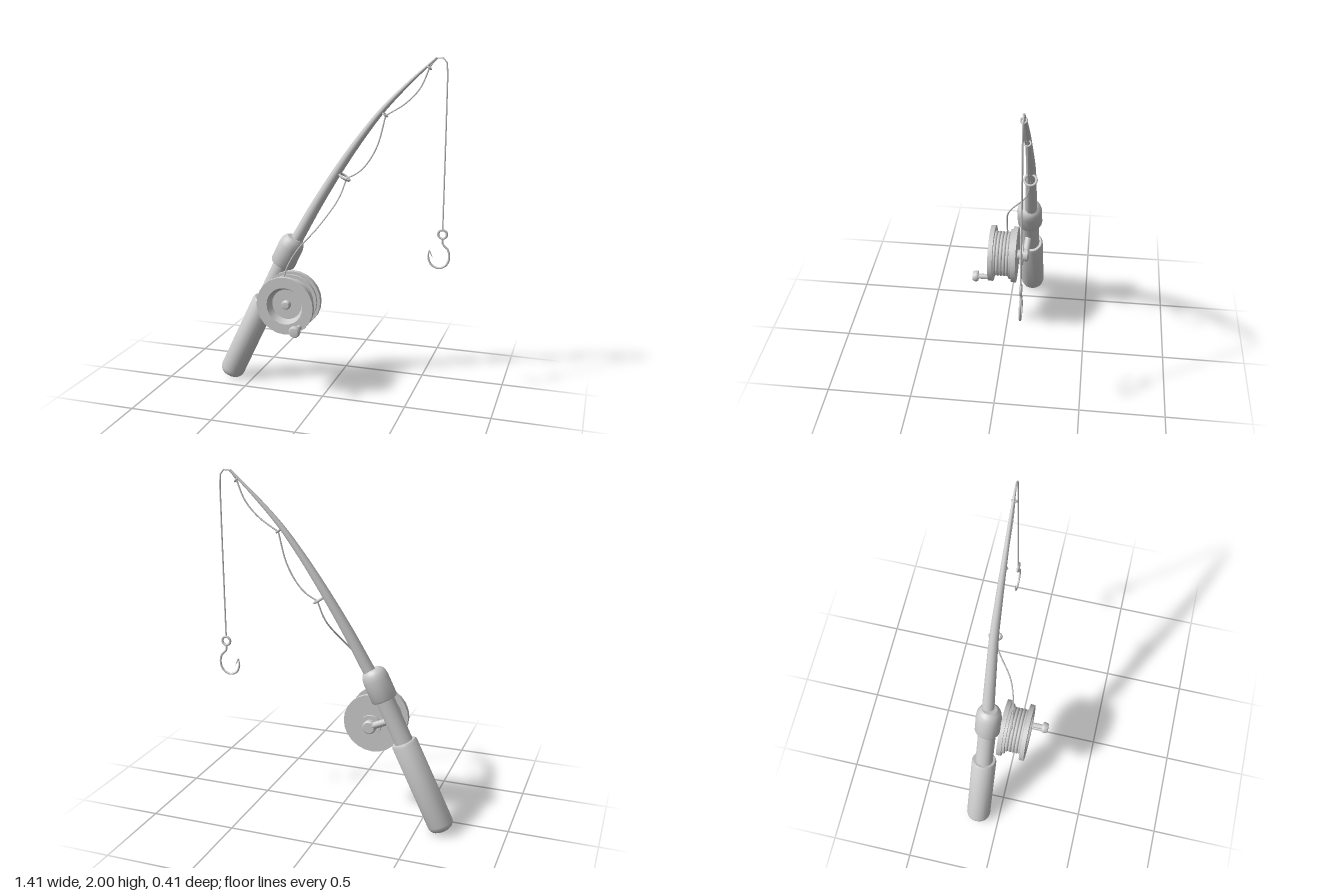
import * as THREE from 'three';
import { toCreasedNormals } from 'three/addons/utils/BufferGeometryUtils.js';

const V = (x, y, z) => new THREE.Vector3(x, y, z);
const UP = V(0, 1, 0);
const ROD_Z = -0.158;

export function createModel() {
  const root = new THREE.Group();
  const mat = new THREE.MeshStandardMaterial({ color: 0xcccccc });

  const add = (name, geo, parent = root) => {
    const mesh = new THREE.Mesh(geo, mat);
    mesh.name = name;
    parent.add(mesh);
    return mesh;
  };

  // Turned part: profile of [radius, height] pairs, listed from bottom to top
  const lathe = (profile, sides = 24) => toCreasedNormals(
    new THREE.LatheGeometry(profile.map(([r, y]) => new THREE.Vector2(r, y)), sides), 0.6);

  // Tube along points; taper(u) scales the radius along the length
  const tube = (points, radius, segments, sides, taper) => {
    const curve = new THREE.CatmullRomCurve3(points, false, 'centripetal');
    const geo = new THREE.TubeGeometry(curve, segments, radius, sides);
    if (taper) {
      const pos = geo.attributes.position;
      const p = V(0, 0, 0);
      for (let i = 0; i < pos.count; i++) {
        const u = Math.floor(i / (sides + 1)) / segments;
        const c = curve.getPointAt(u);
        p.fromBufferAttribute(pos, i).sub(c).multiplyScalar(taper(u)).add(c);
        pos.setXYZ(i, p.x, p.y, p.z);
      }
    }
    return geo;
  };

  // Handle: grip, reel seat and ferrule along one leaning axis
  const handle = new THREE.Group();
  handle.name = 'handle';
  handle.position.set(-0.65, 0.02, -0.132);
  handle.quaternion.setFromUnitVectors(UP, V(0.43, 0.9, 0).normalize());
  root.add(handle);
  add('grip', lathe([[0, 0], [0.045, 0], [0.06, 0.008], [0.071, 0.022], [0.075, 0.04],
    [0.075, 0.545], [0.068, 0.56], [0, 0.56]]), handle);
  add('reelSeat', lathe([[0.053, 0.54], [0.053, 0.86]]), handle);
  add('ferrule', lathe([[0, 0.825], [0.07, 0.825], [0.075, 0.835], [0.075, 0.95],
    [0.071, 0.978], [0.061, 0.998], [0.045, 1.01], [0, 1.01]]), handle);

  // Tapered, bending rod
  add('rod', tube([V(-0.235, 0.87, -0.14), V(-0.2, 0.93, -0.143), V(-0.085, 1.135, -0.15),
    V(0.06, 1.37, ROD_Z), V(0.185, 1.55, ROD_Z), V(0.307, 1.706, ROD_Z),
    V(0.46, 1.865, -0.16), V(0.595, 1.99, -0.162)],
  0.037, 40, 14, (u) => 1 - 0.84 * Math.pow(u, 1.2)));
  add('rodTip', new THREE.SphereGeometry(0.007, 10, 8)).position.set(0.595, 1.99, -0.162);

  // Line guides: rings square to the rod
  [[0.082, 1.307, 0.033, 0.007, 0.54, 0.84], [0.317, 1.675, 0.016, 0.005, 0.6, 0.8],
    [0.56, 1.94, 0.014, 0.005, 0.68, 0.73]].forEach(([x, y, r, t, dx, dy]) => {
    const ring = add('lineGuide', new THREE.TorusGeometry(r, t, 8, 20));
    ring.position.set(x, y, ROD_Z);
    ring.quaternion.setFromUnitVectors(V(0, 0, 1), V(dx, dy, 0).normalize());
  });

  // Fishing line: reel to guides, sagging between them, then hanging from the tip
  const Z = ROD_Z;
  [
    [V(-0.245, 0.7, 0), V(-0.215, 0.79, 0), V(-0.15, 0.9, -0.008), V(-0.048, 1.02, -0.045),
      V(0.053, 1.183, -0.138), V(0.095, 1.3, Z)],
    [V(0.095, 1.3, Z), V(0.165, 1.34, Z), V(0.217, 1.395, Z), V(0.275, 1.5, Z), V(0.32, 1.67, Z)],
    [V(0.32, 1.67, Z), V(0.434, 1.743, Z), V(0.513, 1.828, Z), V(0.562, 1.94, Z)],
    [V(0.562, 1.94, Z), V(0.594, 1.985, -0.162), V(0.624, 1.996, -0.163), V(0.65, 1.98, -0.163),
      V(0.659, 1.93, -0.163), V(0.661, 1.8, -0.163), V(0.661, 1.035, -0.163)],
  ].forEach((points) => add('fishingLine', tube(points, 0.0045, 32, 6)));

  // Hook with eye and barb
  const hook = new THREE.Group();
  hook.name = 'hook';
  hook.position.set(0.661, 1.01, -0.163);
  root.add(hook);
  add('hookEye', new THREE.TorusGeometry(0.025, 0.007, 8, 20), hook);
  add('hookBend', tube([[0, -0.025], [0.003, -0.055], [0.034, -0.09], [0.041, -0.145],
    [0.02, -0.185], [-0.02, -0.2], [-0.06, -0.183], [-0.078, -0.14], [-0.075, -0.097]]
    .map(([x, y]) => V(x, y, 0)), 0.006, 40, 8, (u) => (u > 0.88 ? (1 - u) / 0.12 : 1)), hook);
  add('hookBarb', tube([V(-0.075, -0.1, 0), V(-0.062, -0.124, 0), V(-0.05, -0.147, 0)],
    0.006, 6, 6, (u) => 1 - u), hook);

  // Reel: turned parts around an axis facing front
  const reel = new THREE.Group();
  reel.name = 'reel';
  reel.position.set(-0.2, 0.577, 0);
  reel.rotation.x = Math.PI / 2;
  root.add(reel);
  add('backFlange', lathe([[0, -0.066], [0.173, -0.066], [0.173, -0.038], [0.155, -0.038],
    [0.155, -0.022], [0, -0.022]]), reel);
  add('frontFlange', lathe([[0, 0.05], [0.1, 0.05], [0.1, 0.074], [0.173, 0.074], [0.173, 0.102],
    [0.11, 0.102], [0.09, 0.06], [0, 0.06]]), reel);
  add('spool', lathe([[0.125, -0.03], [0.125, 0.08]]), reel);
  for (let i = 0; i < 5; i++) {
    const coil = add('lineCoil', new THREE.TorusGeometry(0.129, 0.0105, 8, 28), reel);
    coil.rotation.x = Math.PI / 2;
    coil.position.y = -0.012 + i * 0.02;
  }
  add('hubCap', lathe([[0.027, 0.055], [0.027, 0.078], [0.02, 0.086], [0, 0.088]], 16), reel);

  // Back mount: stem, disc and nut, with a bracket to the reel seat
  add('mountStem', lathe([[0.03, -0.1], [0.03, -0.06]], 16), reel);
  add('mountDisc', lathe([[0, -0.102], [0.062, -0.102], [0.062, -0.084], [0, -0.084]], 20), reel);
  add('mountNut', lathe([[0, -0.135], [0.032, -0.135], [0.039, -0.128], [0.039, -0.1]], 16), reel);
  const from = V(-0.2, 0.577, -0.115);
  const to = V(-0.35, 0.648, -0.125);
  const bracket = add('mountBracket', new THREE.CylinderGeometry(0.02, 0.02, from.distanceTo(to), 14));
  bracket.position.copy(from).lerp(to, 0.5);
  bracket.quaternion.setFromUnitVectors(UP, to.clone().sub(from).normalize());

  // Winding knob on the front flange
  const knob = add('windingKnob', lathe([[0.016, 0.09], [0.016, 0.166], [0.03, 0.166], [0.034, 0.173],
    [0.034, 0.186], [0.027, 0.2], [0, 0.204]], 16), reel);
  knob.position.set(0.089, 0, 0.119);

  return root;
}
